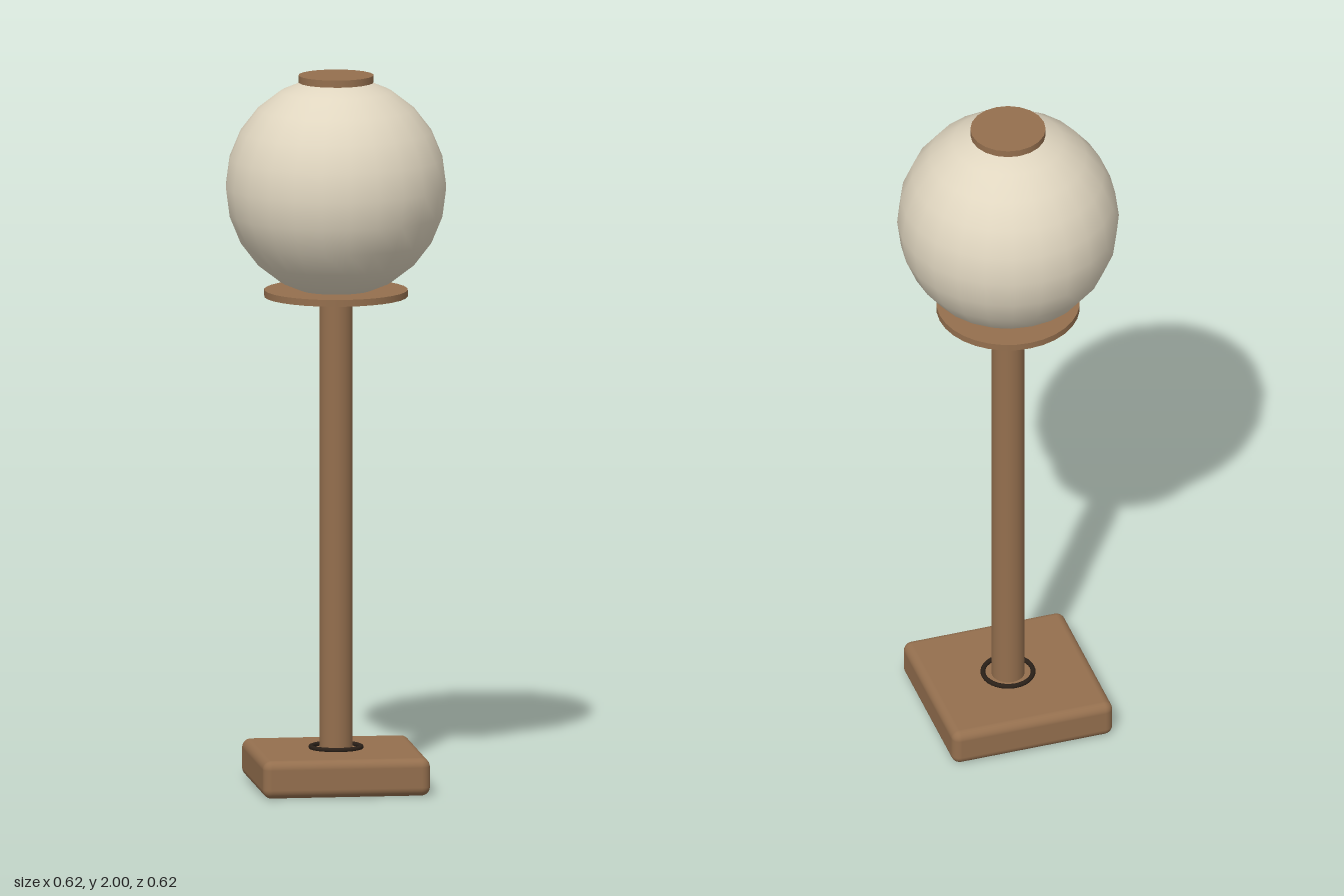
import * as THREE from 'three';
import { RoundedBoxGeometry } from 'three/addons/geometries/RoundedBoxGeometry.js';

export function createModel() {
  const wood = new THREE.MeshStandardMaterial({ color: 0x946f4e });
  wood.name = 'brown wood';
  const glass = new THREE.MeshStandardMaterial({ color: 0xe0d6c0 });
  glass.name = 'cream glass';
  const black = new THREE.MeshStandardMaterial({ color: 0x2a2018 });
  black.name = 'dark trim';

  const lamp = new THREE.Group();
  lamp.name = 'globeLamp';

  function add(name, geometry, material, y) {
    const mesh = new THREE.Mesh(geometry, material);
    mesh.name = name;
    mesh.position.y = y;
    lamp.add(mesh);
    return mesh;
  }

  // Upright cylinder spanning two heights
  function disc(name, radius, bottom, top, sides) {
    return add(name, new THREE.CylinderGeometry(radius, radius, top - bottom, sides), wood, (bottom + top) / 2);
  }

  // Square base with softened edges
  add('base', new RoundedBoxGeometry(0.47, 0.106, 0.47, 4, 0.025), wood, 0.053);

  // Thin ring around the foot of the pole
  const ring = add('baseRing', new THREE.TorusGeometry(0.07, 0.007, 8, 32), black, 0.11);
  ring.rotation.x = Math.PI / 2;

  // Pole and the plate that carries the globe
  disc('pole', 0.046, 0.1, 1.385, 24);
  disc('globePlate', 0.2, 1.378, 1.397, 32);

  // Globe and its cap
  add('globe', new THREE.SphereGeometry(0.309, 24, 12), glass, 1.687);
  disc('cap', 0.105, 1.98, 2, 20);

  return lamp;
}
